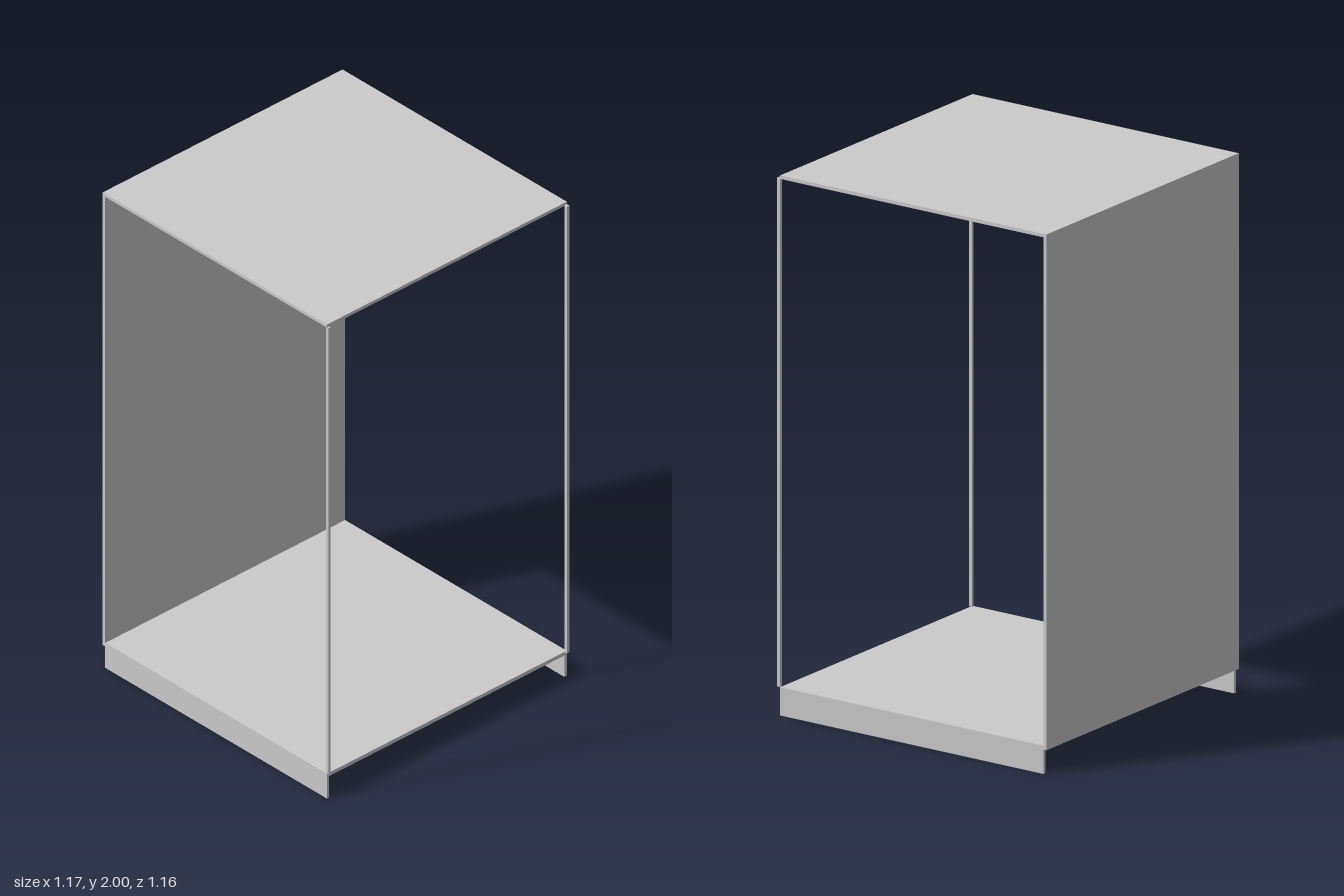
import * as THREE from 'three';

export function createModel() {
  const model = new THREE.Group();
  const material = new THREE.MeshStandardMaterial({ color: 0xcccccc, flatShading: true });

  // Box given by its minimum and maximum corners
  const slab = (name, [x0, y0, z0], [x1, y1, z1]) => {
    const mesh = new THREE.Mesh(new THREE.BoxGeometry(x1 - x0, y1 - y0, z1 - z0), material);
    mesh.position.set((x0 + x1) / 2, (y0 + y1) / 2, (z0 + z1) / 2);
    mesh.name = name;
    model.add(mesh);
  };

  const inner = 0.573, outer = 0.586, depth = 0.578;

  // Closed side of the cabinet
  slab('sidePanel', [-outer, 0.09, -depth], [-inner, 1.987, depth]);

  // Top and floor boards
  slab('topPanel', [-outer, 1.987, -depth], [inner, 2, depth]);
  slab('floorPanel', [-inner, 0.09, -0.566], [inner, 0.105, 0.567]);

  // Kickboards under the front and back edges
  slab('frontKickboard', [-inner, 0, 0.567], [inner, 0.105, depth]);
  slab('backKickboard', [-inner, 0, -depth], [inner, 0.105, -0.566]);

  // Slim posts on the open side
  slab('frontPost', [0.567, 0.105, 0.567], [0.58, 1.987, 0.576]);
  slab('backPost', [inner, 0.105, -depth], [outer, 1.99, -0.566]);

  return model;
}
